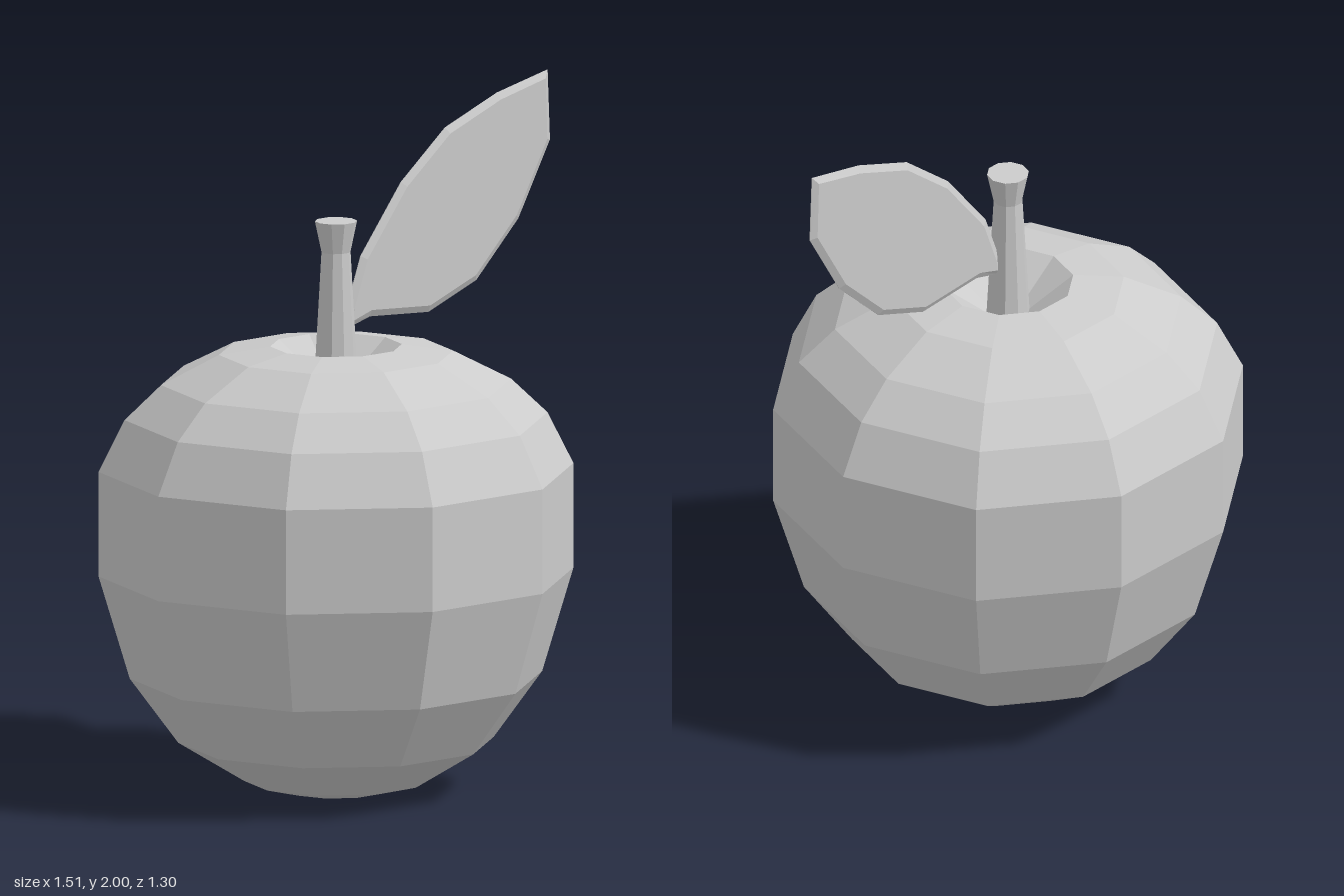
import * as THREE from 'three';

const material = new THREE.MeshStandardMaterial({ color: 0xcccccc, flatShading: true });
const SIDES = 10;
const CORE_X = -0.07;

function addPart(group, name, geometry, x = 0) {
  const flat = geometry.index ? geometry.toNonIndexed() : geometry;
  flat.computeVertexNormals();
  const mesh = new THREE.Mesh(flat, material);
  mesh.name = name;
  mesh.position.x = x;
  group.add(mesh);
}

// Faceted turned form from [radius, height] pairs, listed bottom to top
function turned(profile) {
  const points = profile.map(([r, y]) => new THREE.Vector2(r, y));
  return new THREE.LatheGeometry(points, SIDES, Math.PI / 2);
}

export function createModel() {
  const group = new THREE.Group();
  group.name = 'apple';

  // Fruit with a small hollow underneath and a dimple on top
  addPart(group, 'fruit', turned([
    [0, 0.05], [0.1, 0.045], [0.145, 0], [0.265, 0.03], [0.455, 0.145],
    [0.595, 0.335], [0.685, 0.635], [0.685, 0.94], [0.61, 1.09],
    [0.505, 1.19], [0.338, 1.275], [0.19, 1.297], [0, 1.15],
  ]), CORE_X);

  // Stem, waisted below a flared flat top
  addPart(group, 'stem', turned([
    [0, 1.14], [0.066, 1.14], [0.042, 1.57], [0.061, 1.66], [0, 1.66],
  ]), CORE_X);

  // Thin leaf with a bevelled rim, growing from the stem
  const outline = [
    [-0.03, 1.34], [0.06, 1.365], [0.285, 1.35], [0.47, 1.42], [0.632, 1.58],
    [0.754, 1.795], [0.745, 2.0], [0.55, 1.957], [0.35, 1.88], [0.18, 1.742],
    [0.024, 1.545], [-0.03, 1.4],
  ].map(([x, y]) => new THREE.Vector2(x, y));
  const leaf = new THREE.ExtrudeGeometry(new THREE.Shape(outline), {
    depth: 0.002, bevelEnabled: true, bevelSegments: 1,
    bevelThickness: 0.011, bevelSize: 0.02, bevelOffset: -0.02,
  });
  leaf.translate(0, 0, -0.001);
  addPart(group, 'leaf', leaf);

  return group;
}
